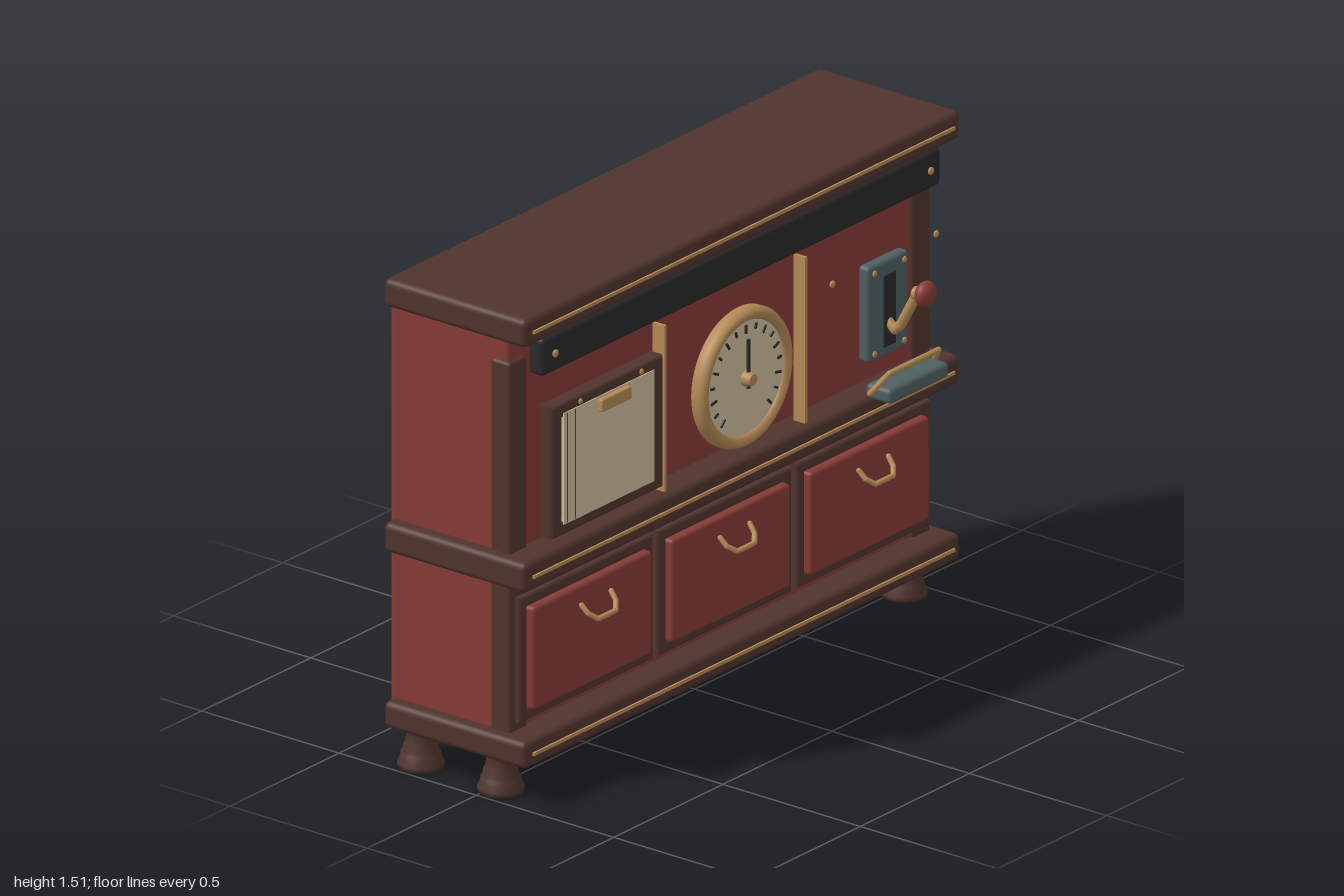
import * as THREE from 'three';
import { RoundedBoxGeometry } from 'three/addons/geometries/RoundedBoxGeometry.js';

const material = (name, color) => {
  const m = new THREE.MeshStandardMaterial({ color });
  m.name = name;
  return m;
};

export function createModel() {
  const root = new THREE.Group();
  root.name = 'cabinet';
  const red = material('red paint', 0x863b36);
  const brown = material('dark wood', 0x50342d);
  const brass = material('brass', 0xb58a55);
  const cream = material('cream paper', 0xcfbf9f);
  const teal = material('grey teal metal', 0x4e6062);
  const black = material('black', 0x2a2a2a);

  const add = (name, geo, mat, x = 0, y = 0, z = 0, parent = root) => {
    const m = new THREE.Mesh(geo, mat);
    m.name = name;
    m.position.set(x, y, z);
    parent.add(m);
    return m;
  };
  // Box given by its extents; r > 0 rounds the edges
  const block = (name, mat, [x0, x1], [y0, y1], [z0, z1], r = 0, parent = root) => {
    const s = [x1 - x0, y1 - y0, z1 - z0];
    const geo = r ? new RoundedBoxGeometry(...s, 3, r) : new THREE.BoxGeometry(...s);
    return add(name, geo, mat, (x0 + x1) / 2, (y0 + y1) / 2, (z0 + z1) / 2, parent);
  };
  // Rectangular frame with an opening and bevelled edges
  const frame = (name, mat, [x0, x1], [y0, y1], [z0, z1], rim, parent = root) => {
    const b = 0.01;
    const rect = (P, d) => new P([[x0 + d, y0 + d], [x1 - d, y0 + d], [x1 - d, y1 - d], [x0 + d, y1 - d]]
      .map(p => new THREE.Vector2(...p)));
    const shape = rect(THREE.Shape, b);
    shape.holes.push(rect(THREE.Path, rim - b));
    const geo = new THREE.ExtrudeGeometry(shape, {
      depth: z1 - z0 - 2 * b, bevelThickness: b, bevelSize: b, bevelSegments: 3,
    });
    return add(name, geo, mat, 0, 0, z0 + b, parent);
  };
  const rod = (name, mat, pts, r, parent = root) => {
    const path = new THREE.CurvePath();
    const v = pts.map(p => new THREE.Vector3(...p));
    for (let i = 1; i < v.length; i++) path.add(new THREE.LineCurve3(v[i - 1], v[i]));
    add(name, new THREE.TubeGeometry(path, 12 * (v.length - 1), r, 10), mat, 0, 0, 0, parent);
    for (const p of v) add(name + 'End', new THREE.SphereGeometry(r, 10, 8), mat, p.x, p.y, p.z, parent);
  };
  const screw = (x, y, z, r = 0.01, parent = root) => {
    const s = add('screw', new THREE.SphereGeometry(r, 12, 8), brass, x, y, z, parent);
    s.scale.z = 0.6;
  };

  // Carcass and the three shelves with brass inlays
  block('body', red, [-0.957, 0.957], [0.125, 1.45], [-0.353, 0.082], 0.02);
  for (const [name, y0, y1] of [['base', 0.12, 0.203], ['middleShelf', 0.662, 0.755], ['top', 1.42, 1.508]]) {
    block(name, brown, [-1, 1], [y0, y1], [-0.342, 0.177], 0.02);
    block(name + 'Inlay', brass, [-0.965, 0.965], [(y0 + y1) / 2 - 0.005, (y0 + y1) / 2 + 0.005], [0.174, 0.183]);
  }

  // Corner posts and turned feet
  const footProfile = [[0, 0], [0.068, 0], [0.068, 0.014], [0.06, 0.03], [0.058, 0.044], [0.051, 0.05],
    [0.051, 0.066], [0.045, 0.076], [0.041, 0.105], [0.048, 0.11], [0.048, 0.125], [0, 0.125]]
    .map(p => new THREE.Vector2(...p));
  for (const s of [-1, 1]) {
    const x = s * 0.923;
    block('cornerPost', brown, [x - 0.041, x + 0.041], [0.1, 1.345], [0.02, 0.093], 0.012);
    for (const z of [0.028, -0.263]) add('foot', new THREE.LatheGeometry(footProfile, 24), brown, x, 0, z);
    block('divider', brass, [s * 0.322 - 0.005, s * 0.322 + 0.005], [0.75, 1.268], [0.107, 0.15]);
    screw(s * 0.86, 1.365, 0.177, 0.012);
  }
  block('blackRail', black, [-0.913, 0.913], [1.305, 1.422], [0.117, 0.173], 0.015);

  // Drawers
  for (const x of [-0.635, 0, 0.635]) {
    const drawer = new THREE.Group();
    drawer.name = 'drawer';
    drawer.position.x = x;
    root.add(drawer);
    frame('drawerFrame', brown, [-0.306, 0.306], [0.23, 0.616], [0.075, 0.113], 0.036, drawer);
    block('drawerPanel', red, [-0.272, 0.272], [0.264, 0.582], [0.08, 0.136], 0.012, drawer);
    rod('handle', brass, [[-0.068, 0.528, 0.147], [-0.063, 0.505, 0.168], [-0.04, 0.487, 0.186],
      [0.04, 0.487, 0.186], [0.063, 0.505, 0.168], [0.068, 0.528, 0.147]], 0.008, drawer);
  }

  // Framed paper with a clip
  frame('paperFrame', brown, [-0.905, -0.397], [0.808, 1.216], [0.15, 0.203], 0.045);
  block('paperBacking', brown, [-0.87, -0.43], [0.84, 1.185], [0.152, 0.18]);
  block('paper', cream, [-0.858, -0.443], [0.842, 1.186], [0.197, 0.206]);
  for (const x of [-0.842, -0.805]) block('paperLine', brown, [x - 0.0015, x + 0.0015], [0.845, 1.183], [0.205, 0.207]);
  block('clip', brass, [-0.716, -0.58], [1.148, 1.188], [0.214, 0.234], 0.006);
  for (const x of [-0.78, -0.5]) screw(x, 1.198, 0.204, 0.009);

  // Dial
  const dial = new THREE.Group();
  dial.name = 'dial';
  dial.position.set(0, 1.01, 0);
  root.add(dial);
  const bezel = [[0.17, 0.15], [0.205, 0.15], [0.212, 0.158], [0.212, 0.18], [0.205, 0.194], [0.194, 0.2],
    [0.18, 0.194], [0.173, 0.184], [0.17, 0.15]].map(p => new THREE.Vector2(...p));
  add('bezel', new THREE.LatheGeometry(bezel, 48), brass, 0, 0, 0, dial).rotation.x = Math.PI / 2;
  add('dialFace', new THREE.CylinderGeometry(0.175, 0.175, 0.03, 48), cream, 0, 0, 0.17, dial).rotation.x = Math.PI / 2;
  for (let i = 0; i <= 16; i++) {
    const a = (i / 16 - 0.5) * Math.PI * 1.5;
    const len = i % 2 ? 0.018 : 0.026;
    const r = 0.163 - len / 2;
    add('tick', new THREE.BoxGeometry(0.007, len, 0.005), black, r * Math.sin(a), r * Math.cos(a), 0.187, dial)
      .rotation.z = -a;
  }
  block('needle', black, [-0.005, 0.005], [-0.03, 0.122], [0.193, 0.2], 0, dial);
  add('hub', new THREE.CylinderGeometry(0.018, 0.025, 0.028, 20), brass, 0, 0, 0.2, dial).rotation.x = Math.PI / 2;

  // Lever on its plate
  block('leverPlate', teal, [0.55, 0.737], [0.873, 1.17], [0.155, 0.197], 0.014);
  block('leverSlot', black, [0.616, 0.67], [0.905, 1.125], [0.194, 0.201]);
  for (const x of [0.575, 0.712]) for (const y of [0.897, 1.146]) screw(x, y, 0.198);
  rod('leverArm', brass, [[0.643, 0.985, 0.185], [0.643, 0.958, 0.218], [0.643, 0.975, 0.238], [0.643, 1.085, 0.298]], 0.015);
  add('leverKnob', new THREE.SphereGeometry(0.039, 24, 16), red, 0.643, 1.096, 0.33).scale.z = 0.7;
  const collar = add('knobCollar', new THREE.CylinderGeometry(0.02, 0.02, 0.025, 16), brass, 0.643, 1.09, 0.303);
  collar.rotation.x = Math.PI / 2;
  for (const x of [0.405, 0.88]) screw(x, 1.165, 0.18, 0.011);

  // Small tray with its brass rail
  block('tray', teal, [0.514, 0.788], [0.785, 0.832], [0.21, 0.304], 0.015);
  rod('trayRail', brass, [[0.508, 0.808, 0.235], [0.538, 0.872, 0.282], [0.762, 0.872, 0.282], [0.797, 0.808, 0.235]], 0.009);

  return root;
}
